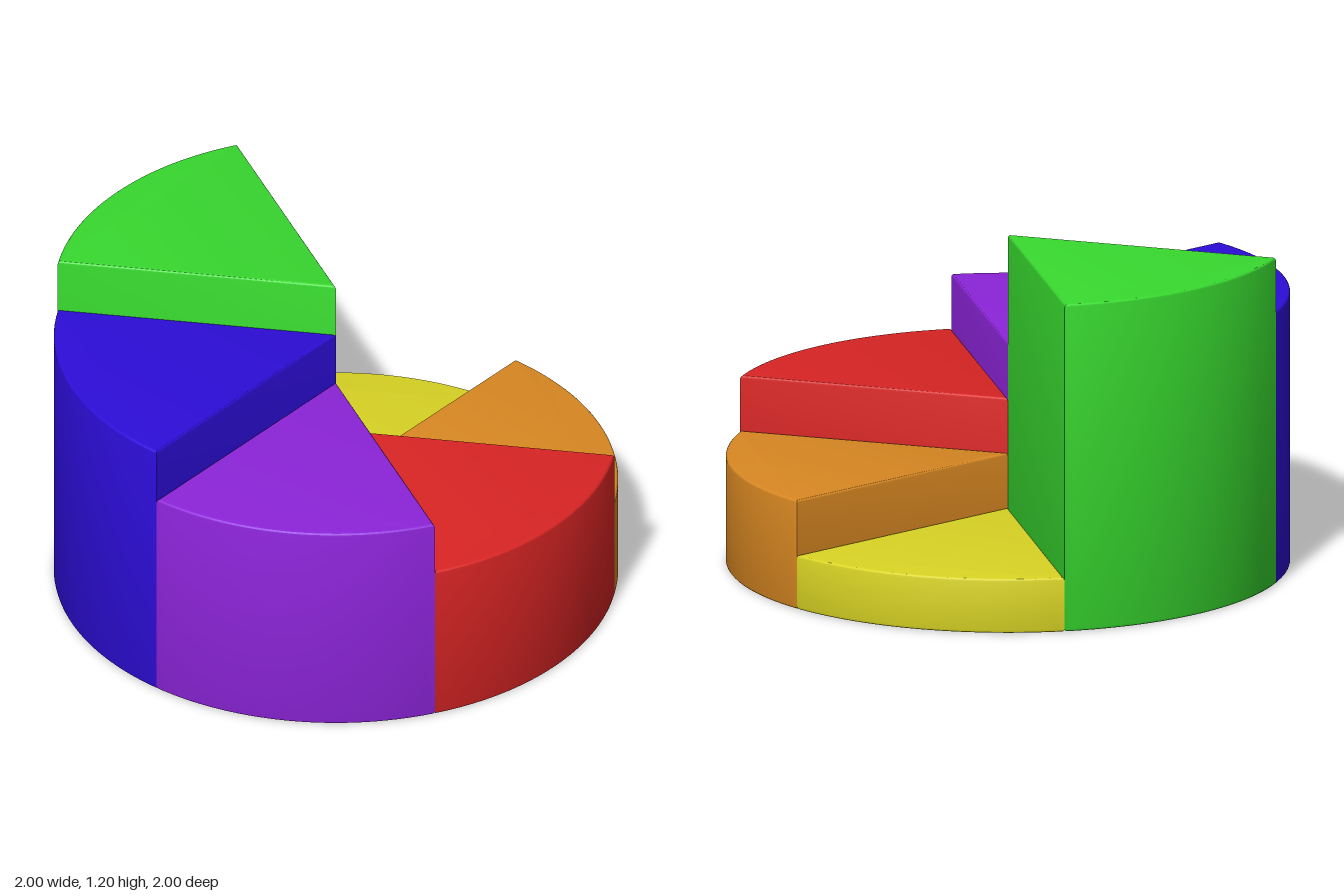
import * as THREE from 'three';
import { toCreasedNormals } from 'three/addons/utils/BufferGeometryUtils.js';

const BEVEL = 0.012;
const STEP = Math.PI / 3;

// Pie slices in counter-clockwise order seen from above, starting at +x
const SLICES = [
  ['red', 0xd92424, 0.6],
  ['orange', 0xd98822, 0.4],
  ['yellow', 0xd9d424, 0.2],
  ['green', 0x38d92f, 1.2],
  ['blue', 0x2d0dd9, 1.0],
  ['purple', 0x8c24d9, 0.8],
];

// A sixth of a disc, standing on y = 0, with softly bevelled edges
function wedgeGeometry(height) {
  const shape = new THREE.Shape();
  shape.moveTo(0, 0);
  shape.absarc(0, 0, 1, -STEP / 2, STEP / 2, false);
  shape.lineTo(0, 0);
  const geometry = new THREE.ExtrudeGeometry(shape, {
    depth: height - 2 * BEVEL,
    curveSegments: 20,
    bevelEnabled: true,
    bevelThickness: BEVEL,
    bevelSize: BEVEL,
    bevelOffset: -BEVEL,
    bevelSegments: 3,
  });
  geometry.translate(0, 0, BEVEL);
  geometry.rotateX(-Math.PI / 2);
  return toCreasedNormals(geometry, 0.3);
}

export function createModel() {
  const model = new THREE.Group();
  model.name = 'steppedPieChart';
  SLICES.forEach(([name, color, height], i) => {
    const material = new THREE.MeshStandardMaterial({ color });
    material.name = name;
    const slice = new THREE.Mesh(wedgeGeometry(height), material);
    slice.name = `${name}Slice`;
    slice.rotation.y = i * STEP;
    model.add(slice);
  });
  return model;
}
